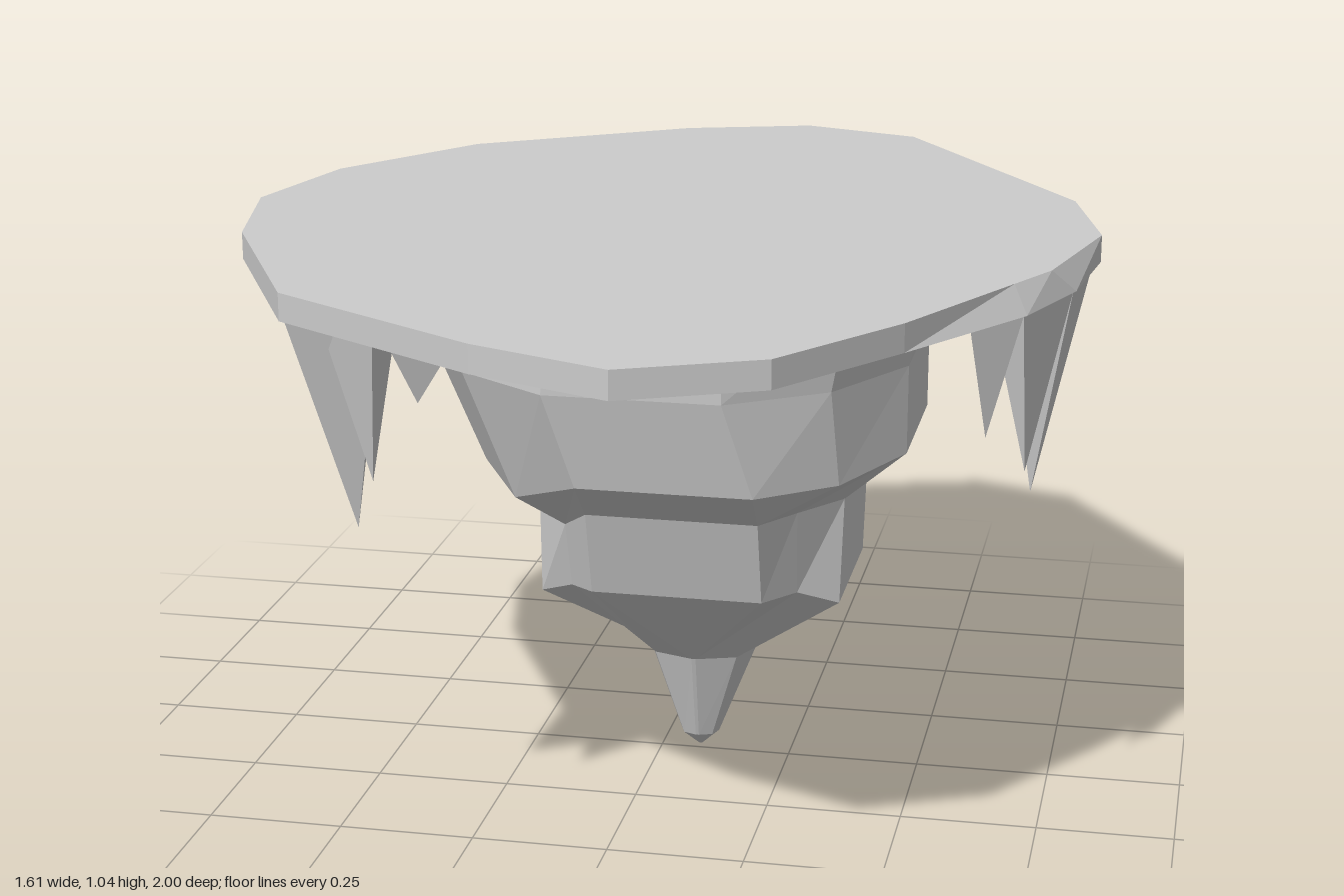
import * as THREE from 'three';

const material = new THREE.MeshStandardMaterial({ color: 0xcccccc, flatShading: true });

// Skins a stack of equal-length rings of [x, y, z], lowest first, and caps both ends
function loft(name, rings) {
  const pos = [];
  const tri = (...pts) => pts.forEach((p) => pos.push(...p));
  const centre = (r) => [0, 1, 2].map((k) => r.reduce((s, p) => s + p[k], 0) / r.length);
  const n = rings[0].length, low = rings[0], high = rings[rings.length - 1];
  const c0 = centre(low), c1 = centre(high);
  for (let i = 0; i < n; i++) {
    const j = (i + 1) % n;
    for (let k = 0; k + 1 < rings.length; k++) {
      const lo = rings[k], hi = rings[k + 1];
      tri(lo[i], hi[i], lo[j]);
      tri(lo[j], hi[i], hi[j]);
    }
    tri(c0, low[i], low[j]);
    tri(c1, high[j], high[i]);
  }
  const geometry = new THREE.BufferGeometry();
  geometry.setAttribute('position', new THREE.Float32BufferAttribute(pos, 3));
  geometry.computeVertexNormals();
  const mesh = new THREE.Mesh(geometry, material);
  mesh.name = name;
  return mesh;
}

// Twelve-point ring with flat sides of half width w facing each axis;
// the front points rise by lift and the -x points sink by drop
function coreRing([y, x, z, rx, rz, w, lift, drop]) {
  const d = 0.75;
  return [
    [rx, w], [d * rx, d * rz], [w, rz], [-w, rz], [-d * rx, d * rz], [-rx, w],
    [-rx, -w], [-d * rx, -d * rz], [-w, -rz], [w, -rz], [d * rx, -d * rz], [rx, -w],
  ].map(([px, pz]) => [
    x + px,
    y + (pz > w ? lift : 0) - (px < -w ? drop : 0),
    z + pz,
  ]);
}

export function createModel() {
  const group = new THREE.Group();
  group.name = 'floatingIsland';

  // Flat top slab; the lower rim flares out above the hanging spikes
  const top = [
    [0.12, -1], [0.355, -0.92], [0.735, -0.35], [0.803, -0.07], [0.735, 0.22], [0.68, 0.33],
    [0.53, 0.63], [0.355, 0.89], [0.12, 1], [-0.13, 0.895], [-0.53, 0.64], [-0.74, 0.22],
    [-0.803, -0.07], [-0.735, -0.36], [-0.53, -0.66], [-0.13, -0.92],
  ];
  const rim = top.map((p) => p.slice());
  rim[4] = [0.775, 0.16];
  rim[5] = [0.705, 0.35];
  rim[14] = [-0.59, -0.61];
  group.add(loft('topSlab', [
    rim.map(([x, z]) => [x, 0.99, z]),
    top.map(([x, z]) => [x, 1.04, z]),
  ]));

  // Stepped rock core: y, centre x, centre z, radius x, radius z, flat half width, lift, drop
  group.add(loft('rockCore', [
    [0, 0.072, -0.025, 0.004, 0.004, 0.001, 0, 0],
    [0.03, 0.072, -0.025, 0.037, 0.037, 0.003, 0, 0],
    [0.21, 0.075, -0.03, 0.105, 0.1, 0.004, 0, 0],
    [0.37, 0.08, -0.02, 0.283, 0.285, 0.158, 0.035, 0.015],
    [0.57, 0.08, -0.03, 0.288, 0.345, 0.158, 0, 0.05],
    [0.665, 0.085, -0.03, 0.395, 0.44, 0.16, -0.015, 0.06],
    [0.83, 0.035, -0.03, 0.445, 0.48, 0.16, 0, 0],
    [1.0, 0.045, -0.035, 0.472, 0.49, 0.15, 0, 0],
  ].map(coreRing)));

  // Hanging spikes: tip first, then the three base corners
  const spikes = [
    [[0.7, 0.58, 0.05], [0.79, -0.1], [0.77, 0.16], [0.62, -0.07]],
    [[0.71, 0.71, 0.34], [0.77, 0.16], [0.7, 0.355], [0.63, 0.25]],
    [[0.65, 0.8, 0.45], [0.7, 0.355], [0.62, 0.465], [0.62, 0.37]],
    [[-0.52, 0.72, -0.45], [-0.72, -0.38], [-0.59, -0.6], [-0.47, -0.42]],
    [[-0.36, 0.73, -0.67], [-0.58, -0.6], [-0.3, -0.76], [-0.4, -0.55]],
    [[-0.43, 0.6, 0.55], [-0.33, 0.74], [-0.53, 0.62], [-0.4, 0.46]],
    [[-0.36, 0.73, 0.68], [-0.33, 0.76], [-0.45, 0.66], [-0.33, 0.62]],
    [[-0.29, 0.86, 0.64], [-0.2, 0.72], [-0.34, 0.68], [-0.25, 0.6]],
  ];
  spikes.forEach(([tip, ...base], i) => {
    group.add(loft(`hangingSpike${i + 1}`, [
      base.map(() => tip),
      base.map(([x, z]) => [x, 0.992, z]),
    ]));
  });

  return group;
}
